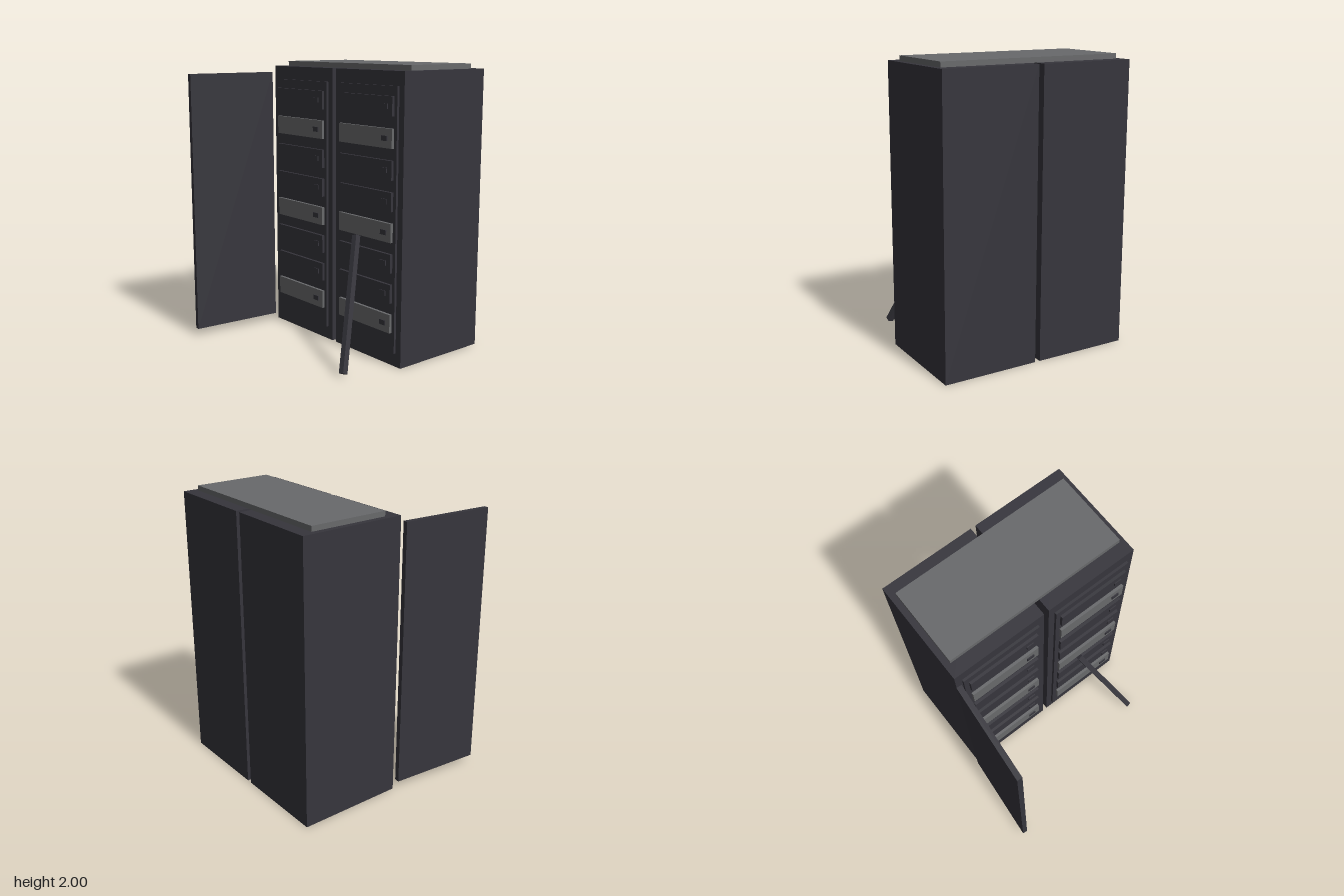
import * as THREE from 'three';

export function createModel() {
  const model = new THREE.Group();
  model.name = 'serverCabinets';

  const mat = (name, color) => {
    const m = new THREE.MeshStandardMaterial({ color });
    m.name = name;
    return m;
  };
  const charcoal = mat('charcoal', 0x36353c);
  const grey = mat('grey', 0x68696b);

  // Box given by its size and centre
  const box = (name, size, pos, material, parent = model) => {
    const mesh = new THREE.Mesh(new THREE.BoxGeometry(...size), material);
    mesh.name = name;
    mesh.position.set(...pos);
    parent.add(mesh);
    return mesh;
  };

  // One cabinet with its front frame and eight server units
  const cabinet = (name, x) => {
    const g = new THREE.Group();
    g.name = name;
    g.position.x = x;
    box('cabinetBody', [0.673, 1.965, 0.745], [0, 0.9825, -0.356], charcoal, g);
    box('frontFrame', [0.58, 1.775, 0.03], [0, 0.983, 0.019], charcoal, g);
    for (let i = 0; i < 8; i++) {
      const y = 1.743 - i * 0.2062;
      const unit = new THREE.Group();
      unit.name = 'serverUnit';
      unit.position.y = y;
      box('unitFace', [0.522, 0.128, 0.03], [0.004, 0, 0.039], i % 3 === 1 ? grey : charcoal, unit);
      box('unitButton', [0.055, 0.034, 0.015], [0.197, 0, 0.0535], charcoal, unit);
      g.add(unit);
    }
    model.add(g);
  };
  cabinet('rightCabinet', -0.3185);
  cabinet('leftCabinet', 0.3915);

  // Slab lying across both cabinets
  box('topSlab', [1.304, 0.035, 0.56], [0.038, 1.9825, -0.358], grey);

  // Door swung wide open, off its hinges
  const door = box('openDoor', [0.667, 1.87, 0.036], [-0.682, 0.985, 0.387], charcoal);
  door.rotation.y = -Math.PI / 2 - 0.087;

  // Loose bar leaning on the left cabinet
  const bar = box('leaningBar', [0.04, 0.935, 0.04], [0.457, 0.435, 0.229], charcoal);
  bar.rotation.set(-0.4, 0, 0.3);

  return model;
}
